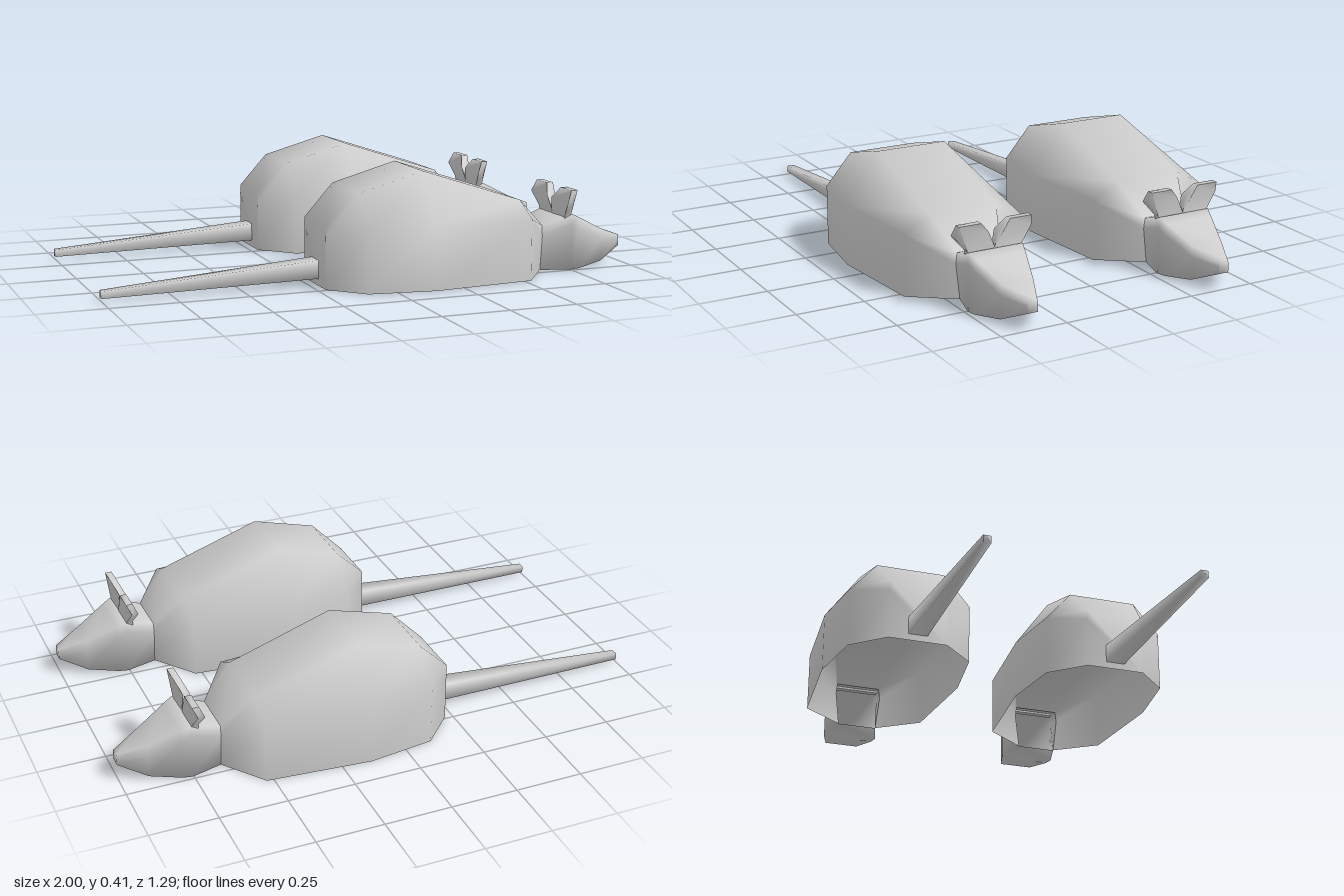
import * as THREE from 'three';
import { toCreasedNormals } from 'three/addons/utils/BufferGeometryUtils.js';

const material = new THREE.MeshStandardMaterial({ color: 0xcccccc, side: THREE.DoubleSide });

// Six-sided section: bottom y, half width, shoulder y, top half width, top y
const section = ([x, b, w, s, t, h, foot = w]) =>
  [[foot, b], [w, s], [t, h], [-t, h], [-w, s], [-foot, b]].map(([z, y]) => [x, y, z]);

// Rectangular section: bottom y, top y, half width
const box = ([x, b, h, w]) => [[w, b], [w, h], [-w, h], [-w, b]].map(([z, y]) => [x, y, z]);

// Smooth skin over a row of sections running towards +x, with optional underside and ends
function loft(name, rings, { underside = true, backEnd = false, frontEnd = false }) {
  const n = rings[0].length, last = (rings.length - 1) * n, index = [];
  for (let i = 0; i < rings.length - 1; i++) {
    for (let j = 0; j < (underside ? n : n - 1); j++) {
      const a = i * n + j, b = i * n + (j + 1) % n;
      index.push(a, a + n, b + n, a, b + n, b);
    }
  }
  for (let j = 1; j < n - 1; j++) {
    if (backEnd) index.push(0, j, j + 1);
    if (frontEnd) index.push(last, last + j + 1, last + j);
  }
  const geometry = new THREE.BufferGeometry();
  geometry.setAttribute('position', new THREE.Float32BufferAttribute(rings.flat(2), 3));
  geometry.setIndex(index);
  geometry.computeVertexNormals();
  const mesh = new THREE.Mesh(geometry, material);
  mesh.name = name;
  return mesh;
}

// Thin ear plate, bent back in the middle and forward at the tip
function ear(name, side) {
  const outline = [[0, 0.19], [0.1, 0.19], [0.105, 0.21], [0.148, 0.262], [0.138, 0.303],
    [0.055, 0.303], [0.017, 0.262], [0, 0.21]];
  const shape = new THREE.Shape(outline.map(([z, y]) => new THREE.Vector2(z * side, y)));
  const geometry = new THREE.ExtrudeGeometry(shape, { depth: 0.025, bevelEnabled: false });
  geometry.rotateY(-Math.PI / 2);
  const p = geometry.attributes.position;
  for (let i = 0; i < p.count; i++) {
    const y = p.getY(i);
    const bend = y > 0.29 ? 0.006 : y > 0.24 ? -0.012 : 0;
    p.setX(i, p.getX(i) + 0.75 + bend);
  }
  const mesh = new THREE.Mesh(toCreasedNormals(geometry, 1.2), material);
  mesh.name = name;
  return mesh;
}

function createMouse(name) {
  const mouse = new THREE.Group();
  mouse.name = name;
  mouse.add(
    // Hollow shell, open underneath
    loft('body', [
      [-0.22, 0, 0.11, 0.19, 0.108, 0.225],
      [-0.105, 0, 0.23, 0.225, 0.13, 0.34],
      [0.14, 0, 0.264, 0.225, 0.132, 0.407],
      [0.525, 0, 0.23, 0.225, 0.13, 0.28],
      [0.64, 0, 0.09, 0.13, 0.085, 0.17, 0.075],
    ].map(section), { underside: false, backEnd: true }),
    loft('head', [
      [0.64, 0, 0.09, 0.13, 0.085, 0.17, 0.075],
      [0.755, 0, 0.106, 0.17, 0.105, 0.208],
      [0.79, 0, 0.098, 0.15, 0.094, 0.192],
      [0.9, 0.015, 0.065, 0.1, 0.06, 0.137],
      [1, 0.06, 0.02, 0.085, 0.018, 0.1],
    ].map(section), { frontEnd: true }),
    loft('tail', [[-1, 0.01, 0.036, 0.014], [-0.22, 0.025, 0.092, 0.036]].map(box),
      { backEnd: true }),
    ear('leftEar', 1),
    ear('rightEar', -1),
  );
  return mouse;
}

export function createModel() {
  const group = new THREE.Group();
  group.name = 'mousePair';
  for (const side of [1, -1]) {
    const mouse = createMouse(side > 0 ? 'frontMouse' : 'backMouse');
    mouse.position.z = side * 0.382;
    group.add(mouse);
  }
  return group;
}
